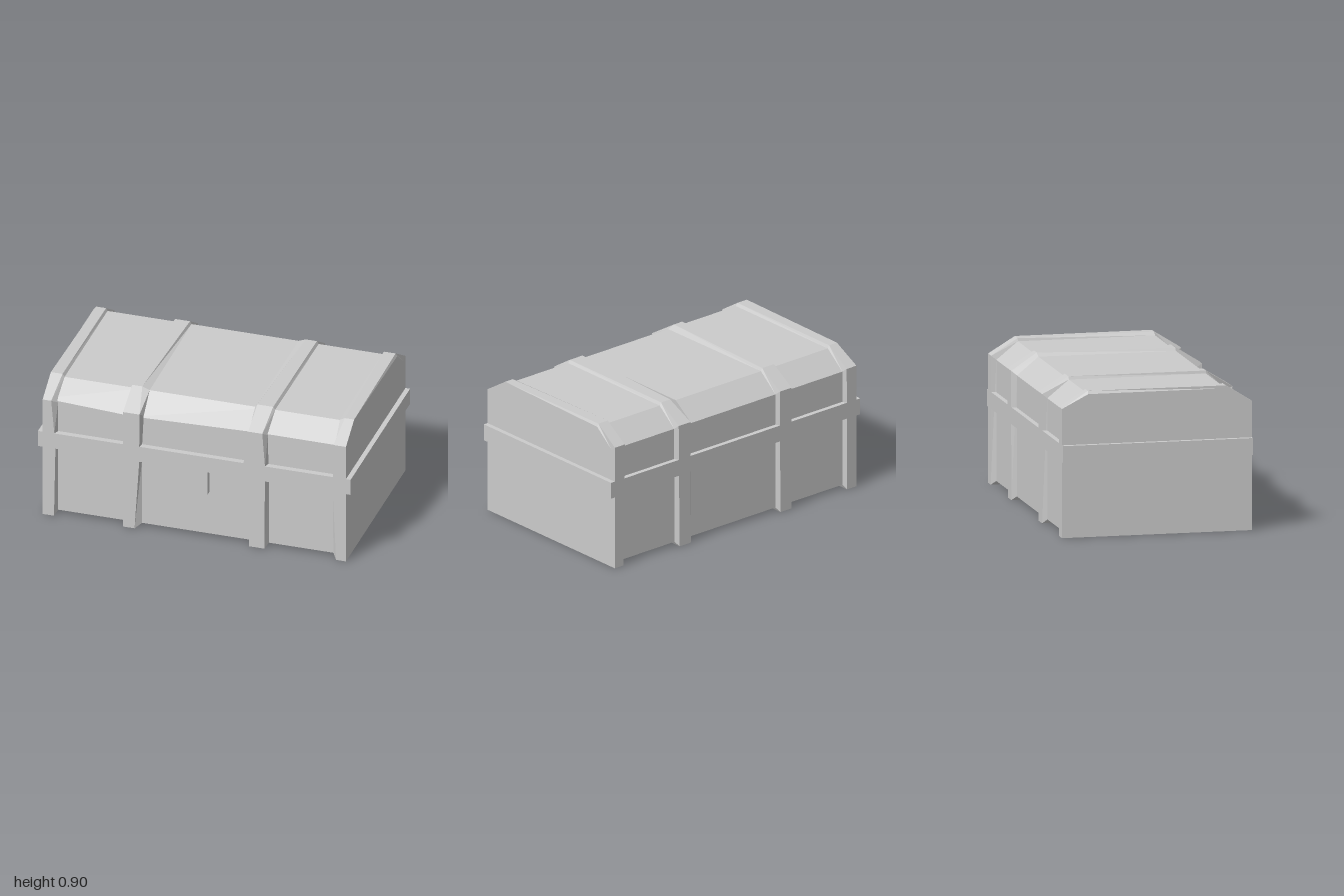
import * as THREE from 'three';

const material = new THREE.MeshStandardMaterial({ color: 0xcccccc, flatShading: true });

// Chest outline as [y, z], from front bottom, up and over to back bottom
const OUTER = [[0, 0.595], [0.47, 0.595], [0.575, 0.595], [0.8, 0.595], [0.903, 0.43],
  [0.903, -0.43], [0.8, -0.595], [0, -0.595]];
const INNER = [[0.025, 0.558], [0.47, 0.558], [0.575, 0.558], [0.775, 0.558], [0.885, 0.43],
  [0.885, -0.43], [0.775, -0.565], [0.025, -0.565]];

// Joins columns of points (each a closed loop round the chest) into a faceted skin
function skin(columns, capped) {
  const n = columns[0].length, last = columns.length - 1, index = [];
  for (let i = 0; i < last; i++) {
    for (let j = 0; j < n; j++) {
      const k = (j + 1) % n;
      const a = i * n + j, b = a + n, c = (i + 1) * n + k, d = i * n + k;
      index.push(a, b, c, a, c, d);
    }
  }
  if (capped) {
    for (let j = 1; j < n - 1; j++) {
      index.push(0, j, j + 1, last * n, last * n + j + 1, last * n + j);
    }
  }
  const geometry = new THREE.BufferGeometry();
  geometry.setAttribute('position', new THREE.Float32BufferAttribute(columns.flat(2), 3));
  geometry.setIndex(index);
  const flat = geometry.toNonIndexed();
  flat.computeVertexNormals();
  return flat;
}

function add(group, name, geometry, x = 0, y = 0, z = 0) {
  const mesh = new THREE.Mesh(geometry, material);
  mesh.name = name;
  mesh.position.set(x, y, z);
  group.add(mesh);
}

// A strap with bevelled flanks; each edge is one x or one x per outline point
function strap(baseLeft, topLeft, topRight, baseRight) {
  const column = (xs, outline) =>
    outline.map(([y, z], j) => [Array.isArray(xs) ? xs[j] : xs, y, z]);
  return skin([column(baseLeft, INNER), column(topLeft, OUTER),
    column(topRight, OUTER), column(baseRight, INNER)], false);
}

export function createModel() {
  const chest = new THREE.Group();
  chest.name = 'chest';

  // Body and lid core, with a slightly uneven front shoulder
  const sections = [[-0.97, 0.788], [-0.4, 0.758], [0.4, 0.782], [0.97, 0.78]];
  add(chest, 'body', skin(sections.map(([x, shoulder]) =>
    INNER.map(([y, z], j) => [x, j === 3 ? shoulder : y, z])), true));

  // Belt round the lid seam
  add(chest, 'belt', new THREE.BoxGeometry(2, 0.105, 1.19), 0, 0.5225, 0);

  // Lock plate hanging from the belt
  add(chest, 'lockPlate', new THREE.BoxGeometry(0.17, 0.16, 0.06), 0, 0.395, 0.565);

  // Hand-cut straps, each with its own uneven edges
  add(chest, 'rightEndStrap', strap(
    -0.97,
    [-0.97, -0.97, -0.97, -0.97, -0.97, -0.955, -0.97, -0.97],
    [-0.897, -0.888, -0.895, -0.915, -0.895, -0.892, -0.892, -0.895],
    -0.882));
  add(chest, 'rightStrap', strap(
    [-0.465, -0.465, -0.455, -0.44, -0.455, -0.46, -0.46, -0.465],
    [-0.455, -0.455, -0.455, -0.455, -0.45, -0.45, -0.45, -0.45],
    [-0.382, -0.352, -0.352, -0.35, -0.385, -0.355, -0.355, -0.36],
    [-0.345, -0.345, -0.345, -0.335, -0.338, -0.345, -0.345, -0.345]));
  add(chest, 'leftStrap', strap(
    [0.34, 0.34, 0.31, 0.335, 0.337, 0.34, 0.335, 0.34],
    [0.35, 0.35, 0.315, 0.345, 0.35, 0.385, 0.362, 0.36],
    [0.448, 0.452, 0.452, 0.435, 0.452, 0.457, 0.457, 0.45],
    [0.465, 0.465, 0.462, 0.46, 0.465, 0.468, 0.468, 0.465]));
  add(chest, 'leftEndStrap', strap(
    0.878,
    [0.907, 0.886, 0.886, 0.89, 0.91, 0.885, 0.89, 0.9],
    [0.97, 0.97, 0.97, 0.97, 0.97, 0.96, 0.97, 0.97],
    0.97));

  return chest;
}
